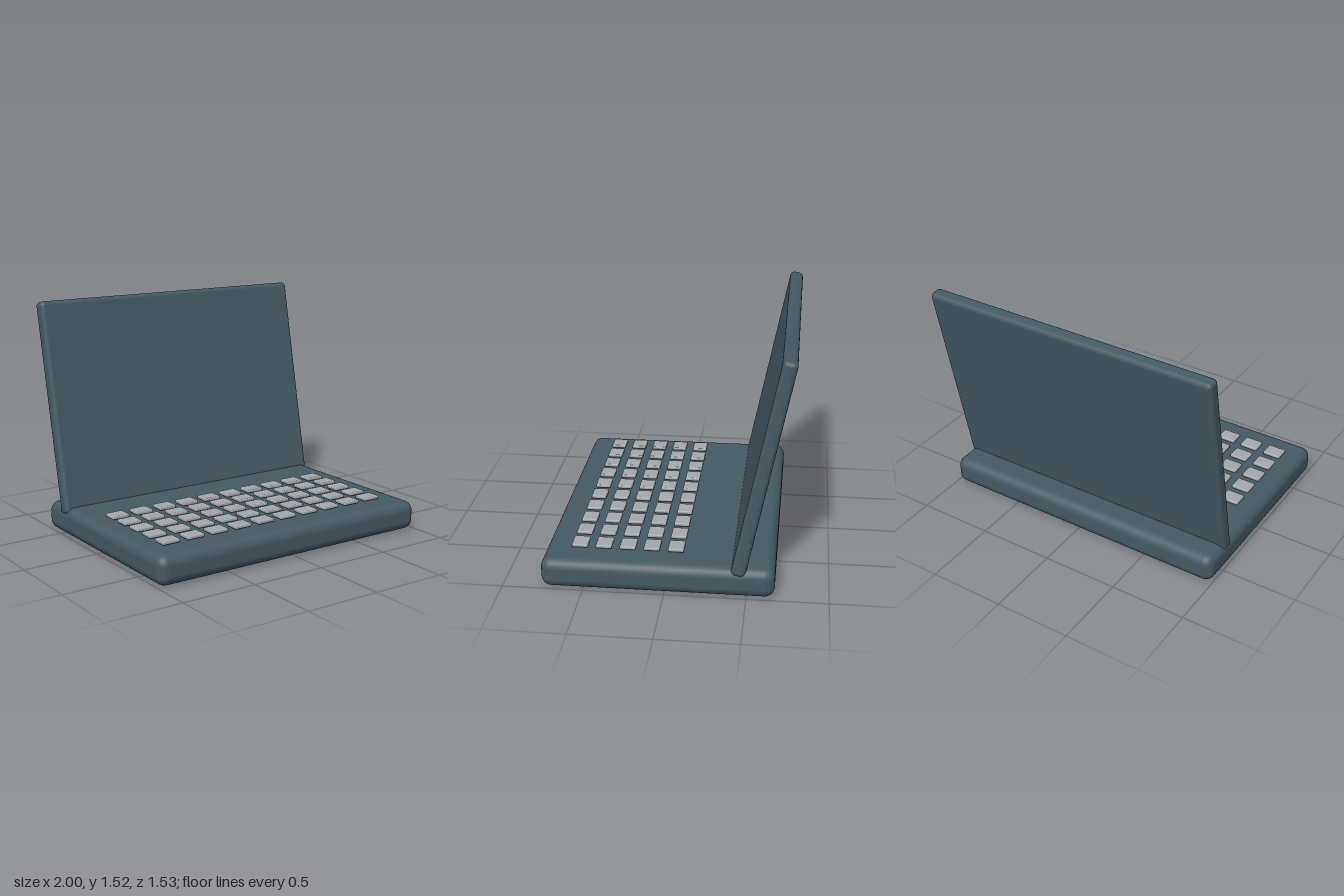
import * as THREE from 'three';
import { RoundedBoxGeometry } from 'three/addons/geometries/RoundedBoxGeometry.js';

export function createModel() {
  const model = new THREE.Group();
  model.name = 'laptop';

  const casing = new THREE.MeshStandardMaterial({ name: 'slate blue', color: 0x455a64 });
  const keycap = new THREE.MeshStandardMaterial({ name: 'light grey', color: 0xa5a9ad });

  const addPart = (parent, name, geometry, material, x, y, z) => {
    const mesh = new THREE.Mesh(geometry, material);
    mesh.name = name;
    mesh.position.set(x, y, z);
    parent.add(mesh);
    return mesh;
  };

  // Thick base with rounded edges
  addPart(model, 'base', new RoundedBoxGeometry(2, 0.19, 1.435, 4, 0.064), casing, 0, 0.095, 0.046);

  // Lid, leaning back and sunk into the base
  const lid = addPart(model, 'lid', new RoundedBoxGeometry(2, 1.402, 0.09, 4, 0.03), casing, 0, 0.828, -0.584);
  lid.rotation.x = -0.2;

  // Keyboard: five rows of ten keys hovering just above the base
  const keyboard = new THREE.Group();
  keyboard.name = 'keyboard';
  model.add(keyboard);
  const keyGeometry = new RoundedBoxGeometry(0.122, 0.023, 0.1, 2, 0.008);
  for (let row = 0; row < 5; row++) {
    for (let column = 0; column < 10; column++) {
      addPart(keyboard, 'key', keyGeometry, keycap, -0.815 + column * 0.175, 0.2085, -0.055 + row * 0.15);
    }
  }

  return model;
}
